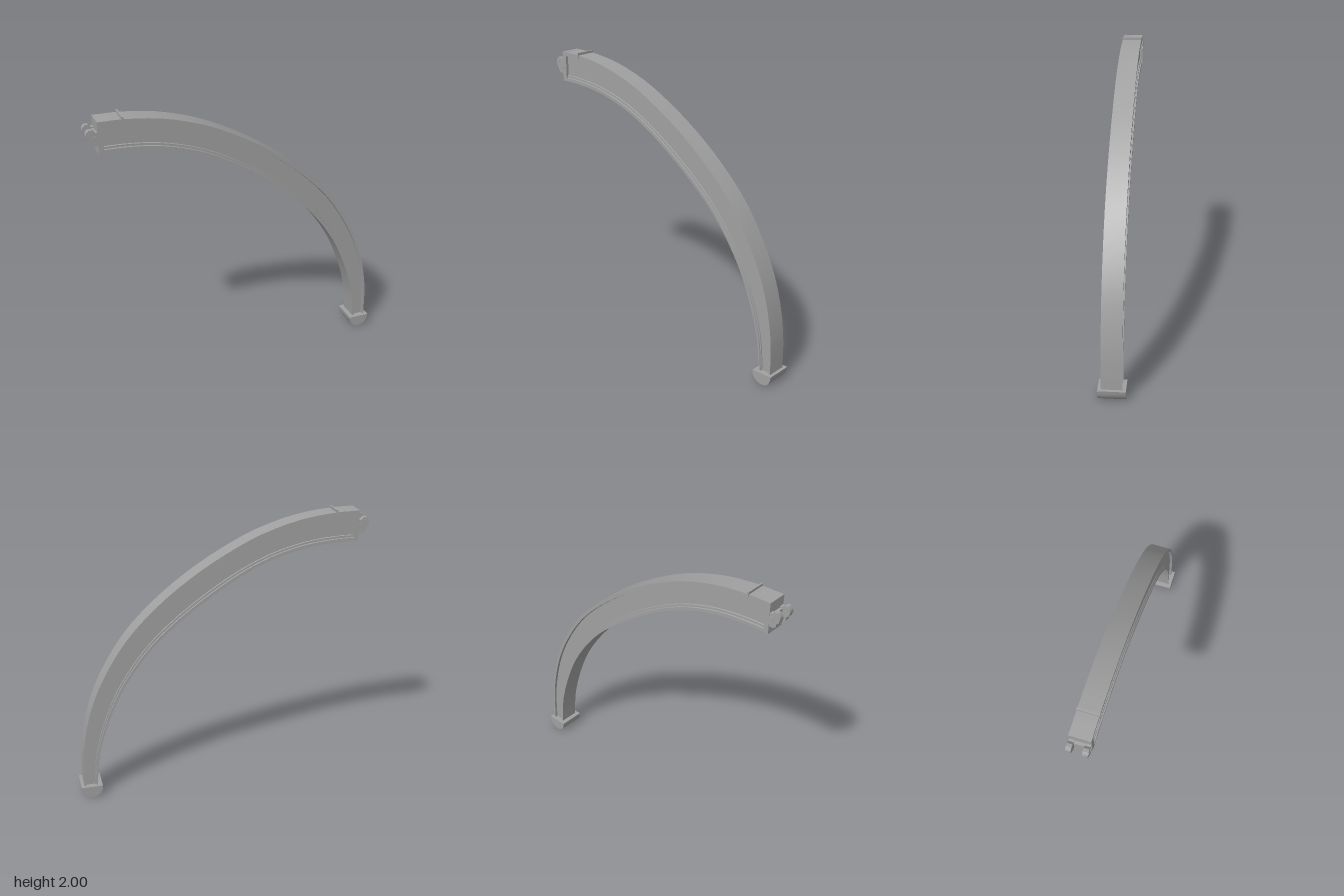
import * as THREE from 'three';
import { toCreasedNormals } from 'three/addons/utils/BufferGeometryUtils.js';

const steel = new THREE.MeshStandardMaterial({ color: 0xa0a0a0 });
steel.name = 'grey steel';

const curve = pts => new THREE.CatmullRomCurve3(pts.map(([x, y]) => new THREE.Vector3(x, y, 0)));

// Curved beam: a recessed cross-section carried between an outer and an inner edge
function beamGeometry() {
  const outer = curve([[-0.955, 1.985], [-0.82, 1.983], [-0.56, 1.95], [-0.276, 1.865], [-0.031, 1.747], [0.214, 1.597],
    [0.457, 1.407], [0.671, 1.185], [0.85, 0.90], [0.948, 0.66], [1.01, 0.36], [1.02, 0.07]]);
  const inner = curve([[-0.955, 1.77], [-0.82, 1.768], [-0.6, 1.745], [-0.36, 1.68], [-0.15, 1.585], [0.07, 1.45],
    [0.29, 1.29], [0.49, 1.11], [0.675, 0.87], [0.79, 0.65], [0.895, 0.33], [0.925, 0.07]]);
  // [depth from outer edge 0..1, half width]
  const side = [[0, 0.07], [0.13, 0.07], [0.145, 0.052], [0.8, 0.052], [0.81, 0.061], [0.88, 0.061], [0.89, 0.07], [1, 0.07]];
  const section = [...side, ...side.map(([t, w]) => [t, -w]).reverse()];
  const steps = 33, n = section.length, pos = [], idx = [];
  for (let i = 0; i <= steps; i++) {
    const a = outer.getPoint(i / steps), b = inner.getPoint(i / steps);
    for (const [t, w] of section) {
      const p = a.clone().lerp(b, t);
      pos.push(p.x, p.y, w);
    }
  }
  for (let i = 0; i < steps; i++) for (let j = 0; j < n; j++) {
    const k = (j + 1) % n, a = i * n + j, b = i * n + k;
    idx.push(a, b, b + n, a, b + n, a + n);
  }
  const g = new THREE.BufferGeometry();
  g.setAttribute('position', new THREE.Float32BufferAttribute(pos, 3));
  g.setIndex(idx);
  return toCreasedNormals(g, 0.5);
}

// Side profile extruded across the width, from z0 to z1
function plate(points, z0, z1) {
  const shape = new THREE.Shape(points.map(([x, y]) => new THREE.Vector2(x, y)));
  const g = new THREE.ExtrudeGeometry(shape, { depth: z1 - z0, bevelEnabled: false });
  g.translate(0, 0, z0);
  return toCreasedNormals(g, 0.6);
}

export function createModel() {
  const model = new THREE.Group();
  model.name = 'curvedArm';
  const arm = new THREE.Group();
  arm.name = 'armAssembly';
  arm.rotation.y = Math.PI / 6;
  model.add(arm);

  const add = (name, geometry, x = 0, y = 0, z = 0) => {
    const m = new THREE.Mesh(geometry, steel);
    m.name = name;
    m.position.set(x, y, z);
    arm.add(m);
    return m;
  };
  const pin = (name, r, length, x, y, z = 0) => {
    add(name, new THREE.CylinderGeometry(r, r, length, 16), x, y, z).rotation.x = Math.PI / 2;
  };

  add('curvedBeam', beamGeometry());

  // Upper end block and the thin rib across the top
  add('endBlock', new THREE.BoxGeometry(0.035, 0.217, 0.142), -0.9675, 1.8775, 0);
  add('topRib', new THREE.BoxGeometry(0.012, 0.045, 0.146), -0.82, 1.9775, 0);

  // Hinge: two lugs with a gap between, knuckles and a cross pin
  const lug = [[-0.97, 1.825], [-1.015, 1.825], [-1.034, 1.838], [-1.036, 1.858], [-1.052, 1.872], [-1.06, 1.895],
    [-1.056, 1.92], [-1.04, 1.937], [-1.018, 1.935], [-1.0, 1.918], [-0.97, 1.918]];
  for (const [z0, z1] of [[-0.069, -0.035], [0.033, 0.069]]) {
    add('hingeLug', plate(lug, z0, z1));
    const outside = z0 < 0 ? z0 : z1;
    pin('lugBolt', 0.02, 0.008, -0.995, 1.878, outside);
    pin('knuckleCap', 0.014, 0.006, -1.035, 1.91, outside);
  }
  add('hingeWeb', new THREE.BoxGeometry(0.03, 0.08, 0.09), -0.99, 1.87, 0);

  // Foot with a rounded underside
  const foot = [[0.89, 0.085], [0.892, 0.055], [0.908, 0.025], [0.932, 0.007], [0.955, 0], [0.98, 0],
    [1.003, 0.007], [1.025, 0.027], [1.038, 0.055], [1.043, 0.085]];
  add('foot', plate(foot, -0.094, 0.094));
  return model;
}
